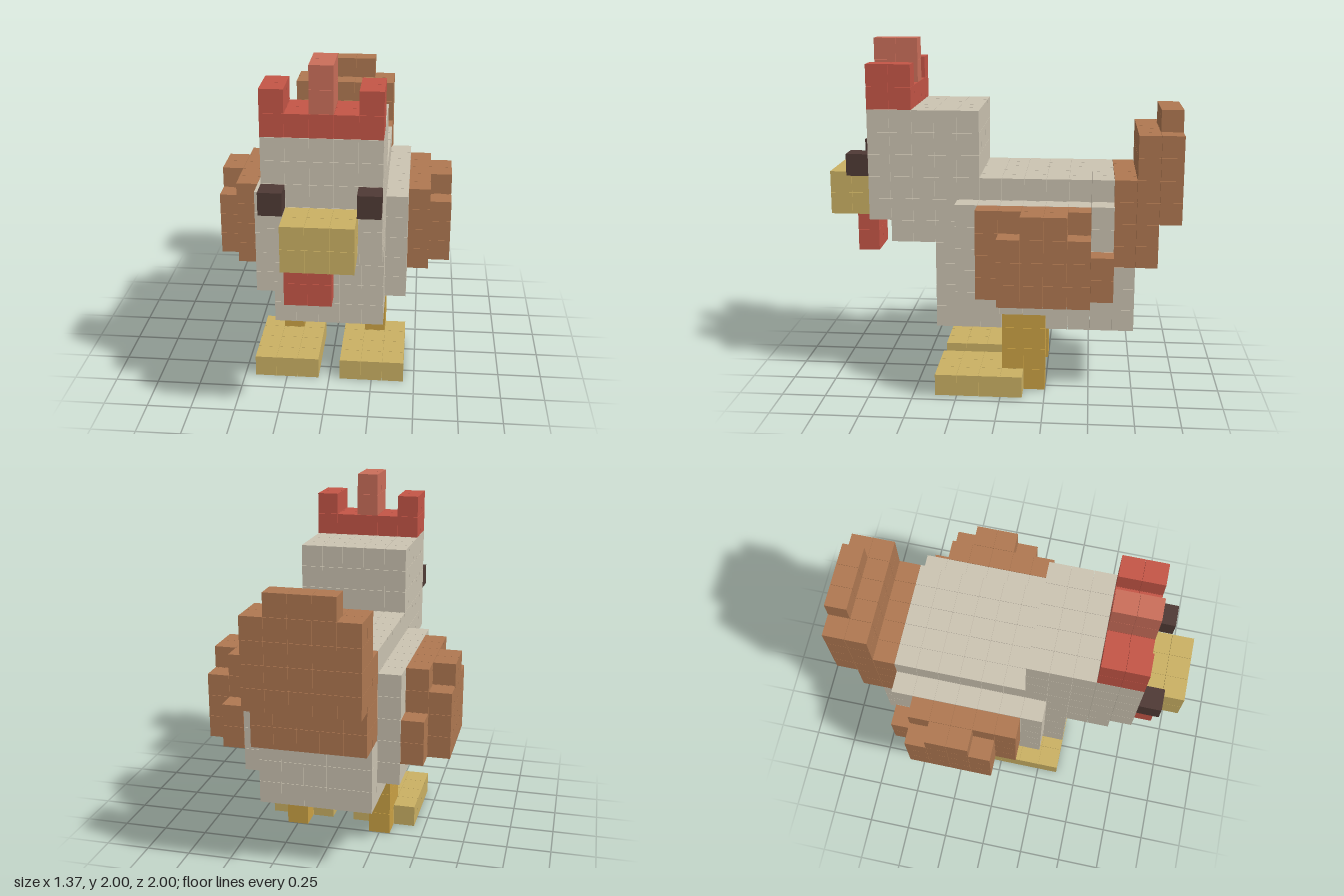
import * as THREE from 'three';
import { mergeGeometries } from 'three/addons/utils/BufferGeometryUtils.js';

const CELL = 0.125; // size of one block
const CUBE = 0.1235; // blocks keep a hairline gap

const material = (name, color) => {
  const m = new THREE.MeshStandardMaterial({ color });
  m.name = name;
  return m;
};

// Each range is [x0, x1, y0, y1, z0, z1] in inclusive block indices:
// x is counted from the middle, y from the ground, z from the back.
function blocks(name, mat, ranges, taken) {
  const cubes = [];
  for (const [x0, x1, y0, y1, z0, z1] of ranges)
    for (let x = x0; x <= x1; x++)
      for (let y = y0; y <= y1; y++)
        for (let z = z0; z <= z1; z++) {
          const key = `${x},${y},${z}`;
          if (taken.has(key)) continue;
          taken.add(key);
          const cube = new THREE.BoxGeometry(CUBE, CUBE, CUBE);
          cube.translate(x * CELL, (y + 0.5) * CELL, (z + 0.5) * CELL - 1);
          cubes.push(cube);
        }
  const mesh = new THREE.Mesh(mergeGeometries(cubes), mat);
  mesh.name = name;
  return mesh;
}

// Swap a set of ranges to the -x side
const mirror = (ranges) => ranges.map(([a, b, ...rest]) => [-b, -a, ...rest]);

export function createModel() {
  const group = new THREE.Group();
  group.name = 'chicken';
  const taken = new Set();

  const cream = material('cream feathers', 0xcbc3b1);
  const brown = material('brown feathers', 0xaf7851);
  const red = material('red comb', 0xc45546);
  const lightRed = material('light red comb', 0xca6e5a);
  const yellow = material('yellow beak', 0xcab063);
  const orange = material('orange legs', 0xcaa144);
  const dark = material('dark eyes', 0x4f3a35);

  const add = (name, mat, ranges) => group.add(blocks(name, mat, ranges, taken));
  const addPair = (name, mat, ranges) => {
    add(name + 'Left', mat, ranges);
    add(name + 'Right', mat, mirror(ranges));
  };

  // Legs reach one block up into the belly, with a heel at the back
  addPair('leg', orange, [[2, 2, 1, 3, 6, 7], [2, 2, 0, 0, 6, 6]]);
  addPair('foot', yellow, [[1, 3, 0, 0, 7, 10]]);

  // Head and overhanging throat
  add('head', cream, [[-2, 2, 8, 12, 9, 13], [-2, 2, 7, 7, 9, 12]]);
  addPair('eye', dark, [[2, 2, 10, 10, 14, 14]]);
  add('beak', yellow, [[-1, 1, 8, 9, 14, 15]]);
  add('wattle', red, [[-1, 0, 6, 7, 14, 14]]);
  add('comb', red, [[-2, 2, 13, 13, 12, 13], [-2, -2, 14, 14, 12, 13], [2, 2, 14, 14, 12, 13]]);
  add('combMiddle', lightRed, [[0, 0, 14, 15, 12, 13]]);

  // Body: core, back, rump and side slabs
  add('body', cream, [
    [-2, 2, 3, 8, 3, 10],
    [-2, 2, 9, 9, 3, 8],
    [-2, 2, 3, 5, 2, 2],
    [-3, -3, 4, 8, 3, 9],
    [3, 3, 4, 8, 3, 9],
  ]);

  // Wings: inner layer, then a shorter outer layer with stepped ends
  addPair('wing', brown, [
    [4, 4, 5, 8, 4, 8],
    [4, 4, 5, 6, 3, 3],
    [5, 5, 5, 7, 4, 7],
    [5, 5, 8, 8, 5, 6],
  ]);

  // Tail leans backwards as it rises
  add('tail', brown, [
    [-2, 2, 6, 7, 1, 2],
    [-2, 2, 8, 9, 0, 2],
    [-2, 2, 10, 11, 0, 1],
    [-1, 1, 12, 12, 0, 0],
  ]);

  return group;
}
